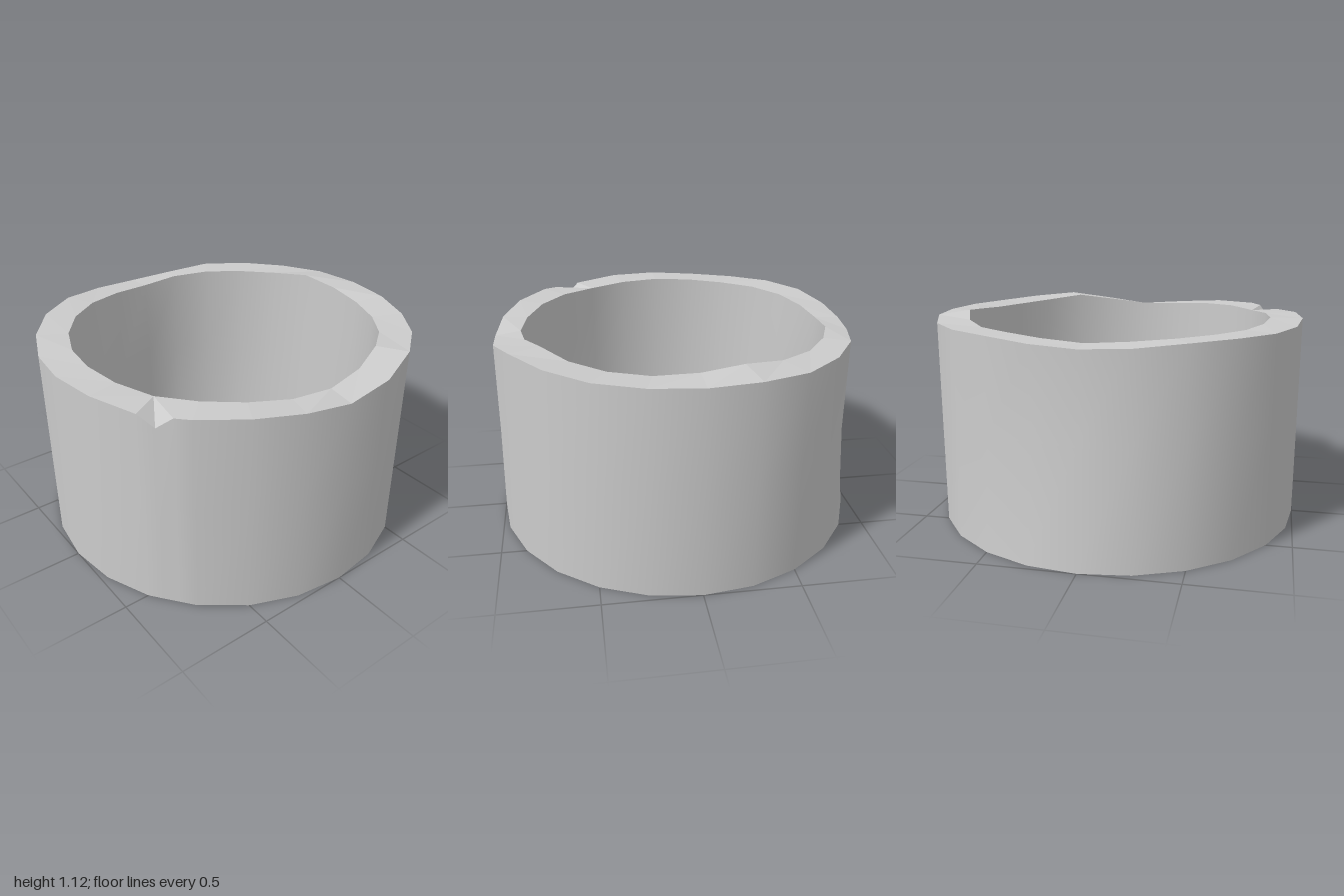
import * as THREE from 'three';

const RAD = Math.PI / 180;

// rim entries every 15 degrees from the front (+z) towards +x: [radius, height]
const outerRim = [
  [1, 1.1], [1, 1.1], [1, 1.085], [1, 1.095], [0.985, 1.09], [0.97, 1.07],
  [0.965, 1.045], [0.99, 1.08], [1, 1.12], [1, 1.11], [1, 1.1], [1, 1.1],
  [1, 1.1], [1, 1.1], [1, 1.09], [0.985, 1.09], [0.965, 1.09], [0.935, 1.07],
  [0.94, 1.06], [0.965, 1.07], [0.99, 1.09], [1, 1.095], [1, 1.09], [1, 1.09],
];
const innerHeights = [
  1.1, 1.095, 1.085, 1.09, 1.085, 1.07, 1.065, 1.09, 1.12, 1.1, 1.09, 1.09,
  1.105, 1.125, 1.1, 1.09, 1.09, 1.08, 1.065, 1.075, 1.085, 1.09, 1.09, 1.095,
];

const point = (deg, r, y) => [r * Math.sin(deg * RAD), y, r * Math.cos(deg * RAD)];

// closed surface strip between successive rings with equal point counts
function loft(rings, name, material) {
  const n = rings[0].length, index = [];
  for (let k = 0; k < rings.length - 1; k++) {
    for (let i = 0; i < n; i++) {
      const a = k * n + i, b = k * n + (i + 1) % n;
      index.push(a, b, b + n, a, b + n, a + n);
    }
  }
  const g = new THREE.BufferGeometry();
  g.setAttribute('position', new THREE.Float32BufferAttribute(rings.flat(2), 3));
  g.setIndex(index);
  g.computeVertexNormals();
  const mesh = new THREE.Mesh(g, material);
  mesh.name = name;
  return mesh;
}

export function createModel() {
  const group = new THREE.Group();
  group.name = 'hollowRing';
  const smooth = new THREE.MeshStandardMaterial({ color: 0xcccccc, side: THREE.DoubleSide });
  const flat = new THREE.MeshStandardMaterial({ color: 0xcccccc, side: THREE.DoubleSide, flatShading: true });

  // outer columns, with two extra ones that cut the notch in the rim
  const columns = outerRim.map(([r, y], i) => ({ deg: i * 15, r, y, inner: i }));
  columns.splice(3, 0,
    { deg: 35, r: 0.993, y: 1.025, inner: 2 },
    { deg: 40, r: 0.993, y: 1.09, inner: 2 });

  // the -x side is dented at mid height, the rest tapers evenly
  const outerTop = columns.map(c => point(c.deg, c.r, c.y));
  const outerMid = columns.map(c => {
    const share = c.deg > 180 ? 1.05 : 0.55;
    return point(c.deg, 1 - (1 - c.r) * share, 0.6);
  });
  const outerBase = columns.map(c => point(c.deg, c.inner === 2 && c.deg > 30 ? 0.993 : 1, 0));

  // bore, bulging slightly inward behind the dent
  const bulge = { 16: 0.01, 17: 0.015, 18: 0.04, 19: 0.035, 20: 0.01 };
  const innerTop = innerHeights.map((y, i) => point(i * 15, 0.83 - (bulge[i] || 0) * 0.6, y));
  const innerMid = innerHeights.map((y, i) => point(i * 15, 0.83 - (bulge[i] || 0) * 1.1, 0.6));
  const innerBase = innerHeights.map((y, i) => point(i * 15, 0.83, 0));

  group.add(loft([outerBase, outerMid, outerTop], 'outerWall', smooth));
  group.add(loft([innerTop, innerMid, innerBase], 'innerWall', smooth));

  // uneven top face; the underside stays open
  const rimInner = columns.map(c => innerTop[c.inner]);
  group.add(loft([outerTop, rimInner], 'topRim', flat));
  return group;
}
